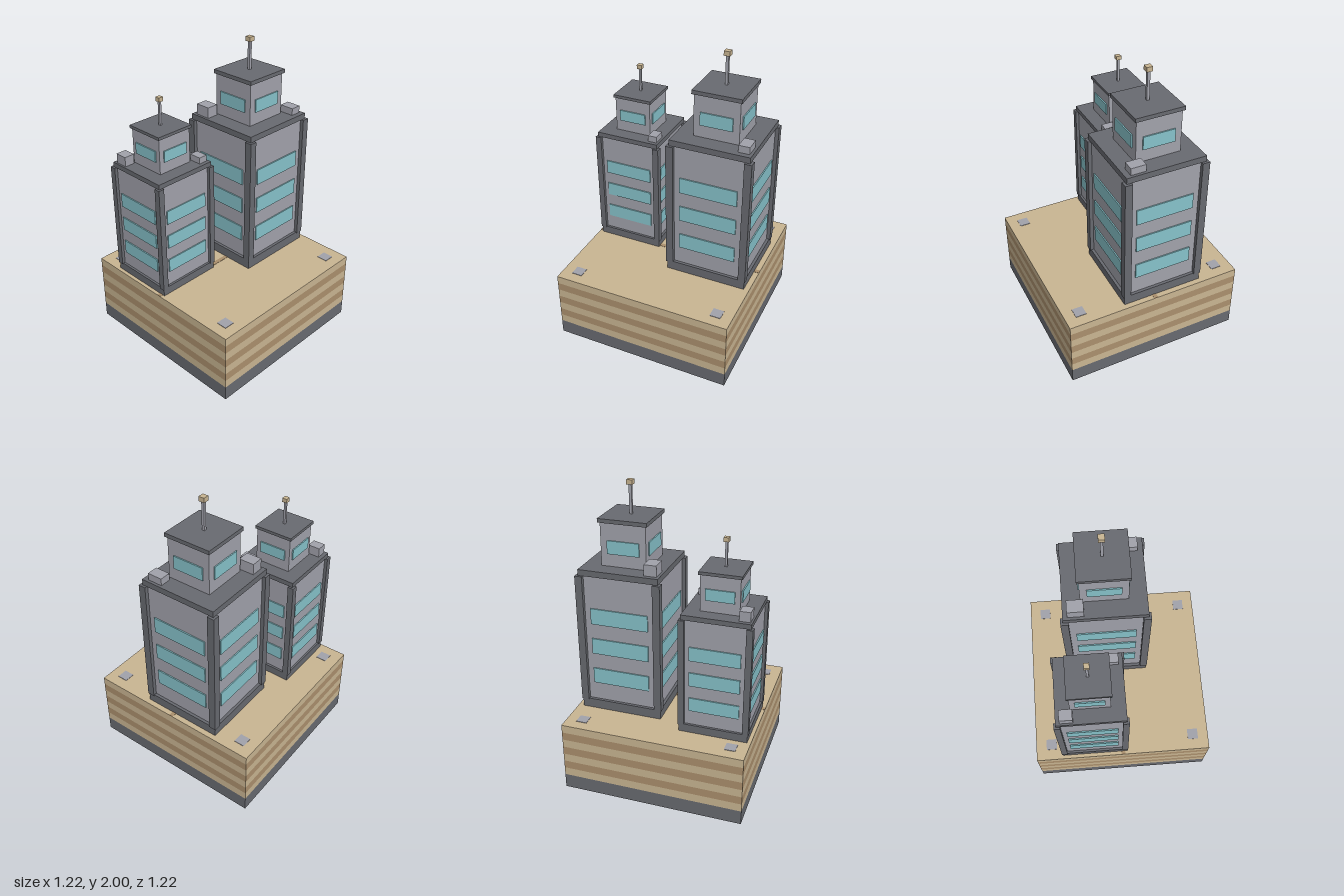
import * as THREE from 'three';

const mat = (name, color) => {
  const m = new THREE.MeshStandardMaterial({ color });
  m.name = name;
  return m;
};

export function createModel() {
  const dark = mat('darkGrey', 0x686a70);
  const grey = mat('lightGrey', 0xa1a2ab);
  const sand = mat('sand', 0xc9b592);
  const brown = mat('brownSand', 0xab906d);
  const glass = mat('glass', 0x86c2ca);

  // Box standing on height y, centred on x and z
  const box = (parent, name, m, w, h, d, x, y, z) => {
    const mesh = new THREE.Mesh(new THREE.BoxGeometry(w, h, d), m);
    mesh.name = name;
    mesh.position.set(x, y + h / 2, z);
    parent.add(mesh);
    return mesh;
  };

  // One window on each of the four walls of a square block
  const windowRing = (parent, name, half, w, h, y) => {
    for (let i = 0; i < 4; i++) {
      const side = new THREE.Group();
      side.name = name + 'Side';
      side.rotation.y = i * Math.PI / 2;
      box(side, name, glass, w, h, 0.009, 0, y, half + 0.0035);
      parent.add(side);
    }
  };

  const tower = (name, x, z, p) => {
    const g = new THREE.Group();
    g.name = name;
    g.position.set(x, 0, z);

    // Plinth, walls, corner posts and roof slab
    box(g, 'plinth', dark, p.plinth * 2, p.y0 - 0.49, p.plinth * 2, 0, 0.49, 0);
    box(g, 'walls', grey, p.body * 2, p.y1 - p.y0, p.body * 2, 0, p.y0, 0);
    const c = p.outer - p.post / 2;
    for (const sx of [-1, 1]) for (const sz of [-1, 1]) {
      box(g, 'cornerPost', dark, p.post, p.y1 - p.y0 + 0.007, p.post, sx * c, p.y0 - 0.007, sz * c);
    }
    box(g, 'roofSlab', dark, p.roof * 2, p.y2 - p.y1, p.roof * 2, 0, p.y1, 0);
    for (const y of p.rows) windowRing(g, 'window', p.body, p.winW, p.winH, y);

    // Penthouse with its own roof
    box(g, 'penthouse', grey, p.top * 2, p.y3 - p.y2, p.top * 2, 0, p.y2, 0);
    windowRing(g, 'penthouseWindow', p.top, p.topWinW, p.topWinH, p.topWinY);
    box(g, 'penthouseRoof', dark, p.topRoof * 2, p.y4 - p.y3, p.topRoof * 2, 0, p.y3, 0);

    // Antenna and beacon
    box(g, 'antenna', grey, p.mast, p.y5 - p.y4, p.mast, 0, p.y4, 0);
    box(g, 'beacon', sand, p.tip, p.y6 - p.y5, p.tip, 0, p.y5, 0);

    // Rooftop units
    for (const [w, h, d, ux, uz] of p.units) box(g, 'roofUnit', grey, w, h, d, ux, p.y2, uz);
    return g;
  };

  const model = new THREE.Group();
  model.name = 'towerBlocks';

  // Layered ground block
  const S = 1.216, layer = 0.39 / 7;
  box(model, 'foundation', dark, S, 0.1, S, 0, 0, 0);
  for (let i = 0; i < 7; i++) {
    box(model, 'groundLayer', i % 2 ? brown : sand, S, layer, S, 0, 0.1 + i * layer, 0);
  }

  // Path strip and corner pavers
  box(model, 'path', brown, 0.028, 0.003, S, 0, 0.489, 0);
  for (const x of [-0.5, 0.5]) for (const z of [-0.5, 0.5]) {
    box(model, 'paver', grey, 0.072, 0.004, 0.072, x, 0.489, z);
  }

  model.add(tower('tallTower', -0.063, -0.296, {
    outer: 0.281, post: 0.049, body: 0.256, plinth: 0.2755, roof: 0.265,
    y0: 0.555, y1: 1.435, y2: 1.475, y3: 1.757, y4: 1.783, y5: 1.97, y6: 2,
    rows: [0.68, 0.897, 1.109], winW: 0.386, winH: 0.108,
    top: 0.15, topRoof: 0.162, topWinW: 0.213, topWinH: 0.087, topWinY: 1.558,
    mast: 0.018, tip: 0.039,
    units: [[0.104, 0.073, 0.082, -0.183, 0.206], [0.1, 0.047, 0.073, 0.18, -0.21]],
  }));
  model.add(tower('shortTower', -0.197, 0.358, {
    outer: 0.231, post: 0.04, body: 0.21, plinth: 0.2255, roof: 0.218,
    y0: 0.545, y1: 1.273, y2: 1.305, y3: 1.54, y4: 1.56, y5: 1.717, y6: 1.744,
    rows: [0.646, 0.826, 1.003], winW: 0.325, winH: 0.093,
    top: 0.124, topRoof: 0.134, topWinW: 0.183, topWinH: 0.074, topWinY: 1.38,
    mast: 0.015, tip: 0.033,
    units: [[0.082, 0.064, 0.069, -0.151, 0.171], [0.084, 0.042, 0.06, 0.15, -0.173]],
  }));

  return model;
}
